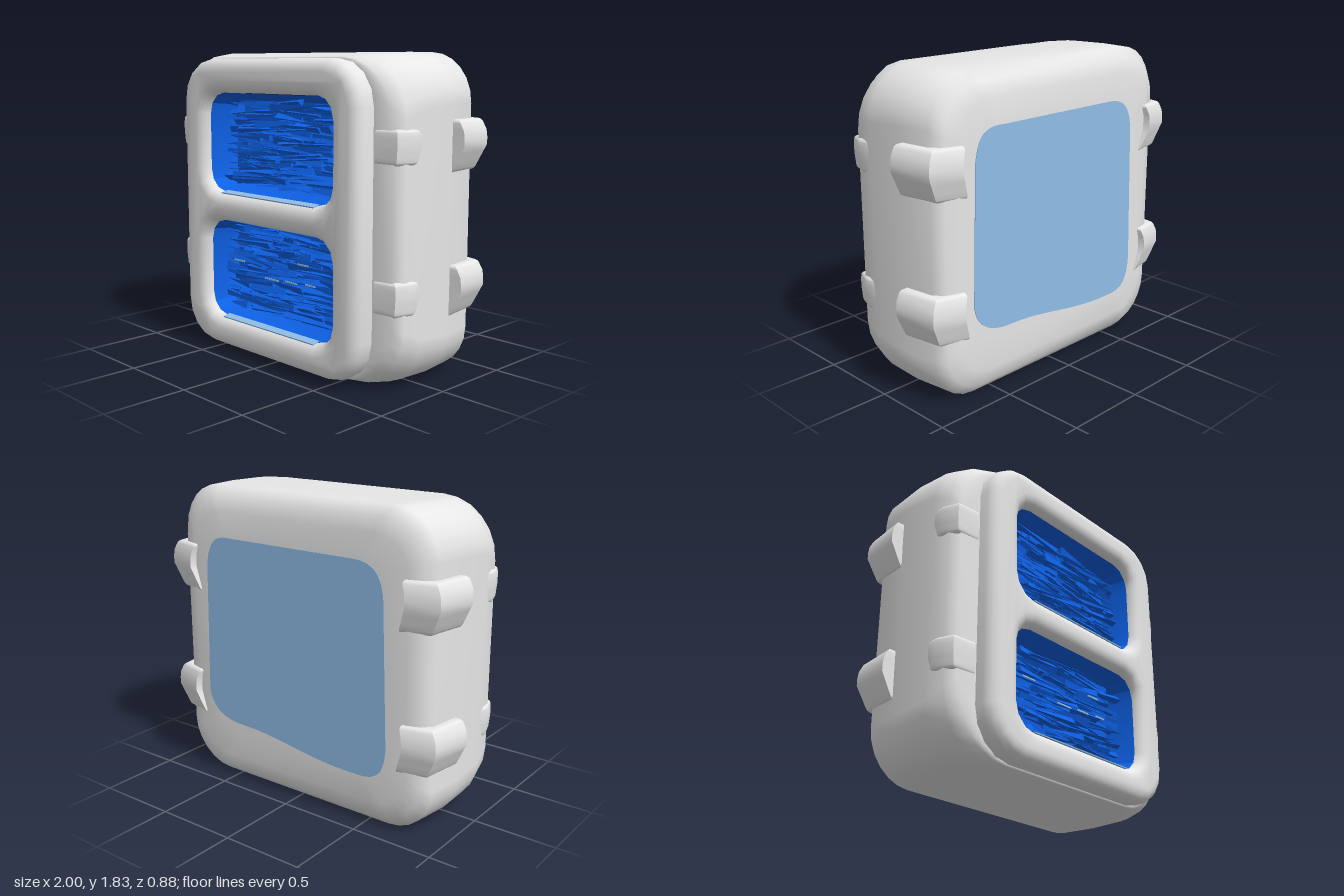
import * as THREE from 'three';
import { mergeGeometries, mergeVertices, toCreasedNormals } from 'three/addons/utils/BufferGeometryUtils.js';

const shellGrey = new THREE.MeshStandardMaterial({ color: 0xe8e8e8 });
const gridBlue = new THREE.MeshStandardMaterial({ color: 0x0f66f2, side: THREE.DoubleSide });
const panelBlue = new THREE.MeshStandardMaterial({ color: 0x90bde6 });
shellGrey.name = 'shell grey';
gridBlue.name = 'grid blue';
panelBlue.name = 'panel blue';

// Rounded rectangle, counter-clockwise, given half sizes, radius and centre height
function roundedPoints(w, h, r, cy, steps) {
  const points = [];
  for (let c = 0; c < 4; c++) {
    const sx = c === 0 || c === 3 ? 1 : -1;
    const sy = c < 2 ? 1 : -1;
    for (let i = 0; i <= steps; i++) {
      const a = (c + i / steps) * Math.PI / 2;
      points.push(new THREE.Vector2(sx * (w - r) + r * Math.cos(a), cy + sy * (h - r) + r * Math.sin(a)));
    }
  }
  return points;
}

// Skin over rings [z, half width, half height, radius], back to front, closed at the first ring
function loft(rings, cy, steps) {
  const pos = [], index = [];
  const n = 4 * (steps + 1);
  for (const [z, w, h, r] of rings) {
    for (const p of roundedPoints(w, h, r, cy, steps)) pos.push(p.x, p.y, z);
  }
  for (let k = 0; k < rings.length - 1; k++) {
    for (let i = 0; i < n; i++) {
      const a = k * n + i, b = k * n + (i + 1) % n;
      index.push(a, b, b + n, a, b + n, a + n);
    }
  }
  pos.push(0, cy, rings[0][0]);
  for (let i = 0; i < n; i++) index.push(pos.length / 3 - 1, (i + 1) % n, i);
  const g = new THREE.BufferGeometry();
  g.setAttribute('position', new THREE.Float32BufferAttribute(pos, 3));
  g.setIndex(index);
  g.computeVertexNormals();
  return g;
}

// Bevelled extrusion with welded vertices
function bevelExtrude(shape, depth, bevel, steps) {
  const g = new THREE.ExtrudeGeometry(shape, {
    depth: depth - 2 * bevel, steps, bevelThickness: bevel, bevelSize: bevel, bevelOffset: -bevel, bevelSegments: 4,
  });
  g.translate(0, 0, bevel);
  g.deleteAttribute('uv');
  g.deleteAttribute('normal');
  return mergeVertices(g, 1e-4);
}

function seeded(seed) {
  return () => {
    seed = (seed * 16807) % 2147483647;
    return seed / 2147483647;
  };
}

export function createModel() {
  const model = new THREE.Group();
  const add = (name, geometry, material, parent = model) => {
    const mesh = new THREE.Mesh(geometry, material);
    mesh.name = name;
    parent.add(mesh);
  };

  // Main housing: a soft rounded block with its front corners cut back, open behind the front frame
  add('housing', loft([
    [-0.41, 0.6, 0.6, 0.15],
    [-0.405, 0.77, 0.77, 0.22],
    [-0.38, 0.85, 0.86, 0.26],
    [-0.325, 0.9, 0.915, 0.28],
    [-0.1, 0.93, 0.915, 0.28],
    [0.12, 0.935, 0.912, 0.3],
    [0.24, 0.92, 0.9, 0.34],
    [0.295, 0.88, 0.888, 0.36],
    [0.31, 0.75, 0.878, 0.25],
    [0.31, 0.65, 0.7, 0.2],
  ], 0.92, 6), shellGrey);

  // Front frame with two rounded windows
  const windows = [1.3, 0.525];
  const frame = new THREE.Shape(roundedPoints(0.755, 0.88, 0.25, 0.92, 4));
  for (const y of windows) frame.holes.push(new THREE.Path(roundedPoints(0.54, 0.3, 0.13, y, 3)));
  add('frontFrame', toCreasedNormals(bevelExtrude(frame, 0.33, 0.07, 1), 0.9).translate(0, 0, 0.1), shellGrey);

  // Windows: recessed tray, light sill and a tangle of thin horizontal slivers
  windows.forEach((y, k) => {
    const group = new THREE.Group();
    group.name = k === 0 ? 'upperWindow' : 'lowerWindow';
    model.add(group);
    const tray = loft([
      [0.2, 0.49, 0.25, 0.08], [0.27, 0.51, 0.275, 0.1], [0.37, 0.538, 0.298, 0.13],
    ], y, 3);
    add('tray', toCreasedNormals(tray, 0.5), gridBlue, group);
    const sill = new THREE.BoxGeometry(0.8, 0.007, 0.05).rotateX(0.2);
    add('sill', sill.translate(0, y - 0.3, 0.38), panelBlue, group);

    const random = seeded(71 + k * 400);
    const slivers = [], rows = 14, perRow = 9;
    for (let i = 0; i < rows * perRow; i++) {
      const length = 0.2 + 0.35 * random();
      const room = 0.5 - length / 2;
      const g = new THREE.CylinderGeometry(0.002, 0.012 + 0.018 * random(), length, 3);
      g.rotateY(random() * 6.28);
      g.rotateZ((random() < 0.5 ? 1 : -1) * Math.PI / 2 + (random() - 0.5) * 0.2);
      g.rotateY((random() - 0.5) * 0.2);
      const row = Math.floor(i / perRow) / (rows - 1) - 0.5;
      const column = 2 * (i % perRow) / (perRow - 1) - 1;
      g.translate(column * room, y + row * 0.47 + (random() - 0.5) * 0.02, 0.24 + 0.05 * random());
      slivers.push(g.toNonIndexed());
    }
    const tangle = mergeGeometries(slivers);
    tangle.computeVertexNormals();
    add('slivers', tangle, gridBlue, group);
  });

  // Small pale glints between the lower slivers
  for (const [x, y, w] of [[-0.35, 0.57, 0.1], [-0.05, 0.5, 0.12], [0.12, 0.51, 0.1], [0.22, 0.63, 0.09], [0.28, 0.52, 0.08]]) {
    add('glint', new THREE.BoxGeometry(w, 0.009, 0.006).translate(x, y, 0.312), panelBlue);
  }

  // Thin back panel with a wavy lower edge
  const panel = new THREE.Shape();
  panel.moveTo(0.68, 0.56);
  panel.lineTo(0.66, 1.36);
  panel.bezierCurveTo(0.64, 1.51, 0.59, 1.55, 0.45, 1.54);
  panel.lineTo(-0.42, 1.54);
  panel.bezierCurveTo(-0.55, 1.54, -0.61, 1.48, -0.62, 1.34);
  panel.lineTo(-0.65, 0.5);
  panel.bezierCurveTo(-0.64, 0.35, -0.59, 0.3, -0.47, 0.3);
  panel.bezierCurveTo(-0.1, 0.29, 0.1, 0.38, 0.4, 0.38);
  panel.bezierCurveTo(0.56, 0.38, 0.66, 0.43, 0.68, 0.56);
  add('backPanel', new THREE.ExtrudeGeometry(panel, { depth: 0.004, bevelEnabled: false, curveSegments: 10 })
    .translate(0, 0, -0.4125), panelBlue);

  // Corner clamps, drawn from above as [x, z], extruded upwards and drawn in towards the shell at their ends
  const backClamp = [[0.74, -0.34], [0.77, -0.445], [0.96, -0.4], [1, -0.14], [0.9, -0.13], [0.84, -0.3]];
  const frontClamp = [[0.74, 0.2], [0.77, 0.315], [0.91, 0.3], [0.945, 0.2], [0.93, 0.12]];
  const addClamp = (name, outline, side, y, height, taper) => {
    const shape = new THREE.Shape(outline.map(([x, z]) => new THREE.Vector2(side * x, -z)));
    const g = bevelExtrude(shape, height, 0.02, 6).rotateX(-Math.PI / 2).translate(0, -height / 2, 0);
    const p = g.attributes.position;
    for (let i = 0; i < p.count; i++) {
      const t = 2 * p.getY(i) / height;
      const f = 1 - taper * (t < 0 ? -t : Math.max(0, t - 0.5));
      p.setX(i, p.getX(i) * f);
      p.setZ(i, p.getZ(i) * f);
    }
    add(name, toCreasedNormals(g, 0.6).translate(0, y, 0), shellGrey);
  };
  for (const side of [1, -1]) {
    const label = side > 0 ? 'left' : 'right';
    for (const y of [1.33, 0.53]) {
      const level = y > 1 ? 'Upper' : 'Lower';
      addClamp(`${label}${level}BackClamp`, backClamp, side, y, 0.29, 0.07);
      addClamp(`${label}${level}FrontClamp`, frontClamp, side, y + 0.015, 0.19, 0.01);
    }
  }
  return model;
}
